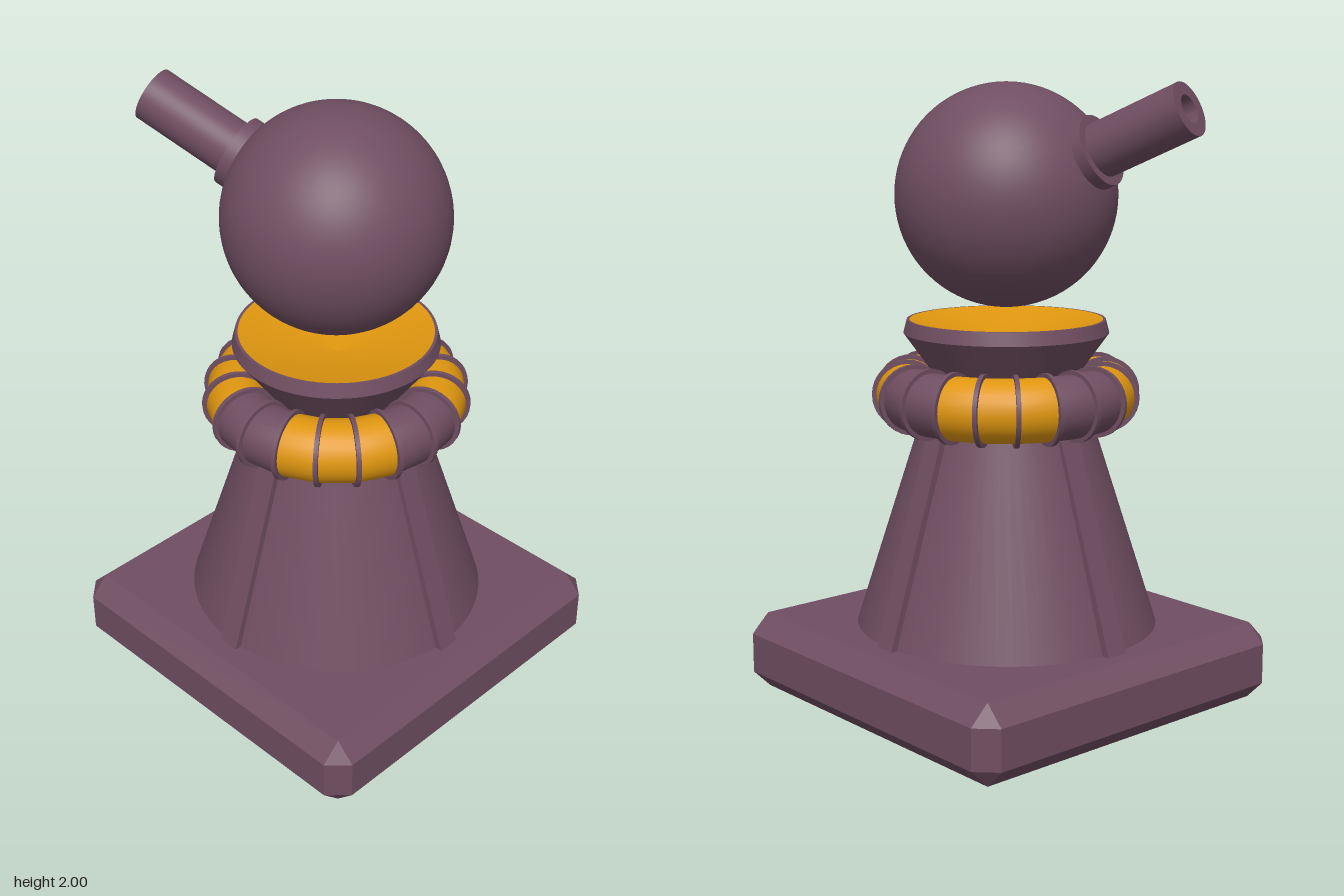
import * as THREE from 'three';
import { toCreasedNormals } from 'three/addons/utils/BufferGeometryUtils.js';
import { ConvexGeometry } from 'three/addons/geometries/ConvexGeometry.js';

export function createModel() {
  const model = new THREE.Group();
  model.name = 'turret';
  const plum = new THREE.MeshStandardMaterial({ color: 0x6f4e61 });
  plum.name = 'plum';
  const amber = new THREE.MeshStandardMaterial({ color: 0xdf960f });
  amber.name = 'amber';

  const body = new THREE.Group();
  body.name = 'body';
  body.position.x = 0.008;
  model.add(body);

  const add = (parent, name, geometry, material) => {
    const mesh = new THREE.Mesh(geometry, material);
    mesh.name = name;
    parent.add(mesh);
    return mesh;
  };
  const lathe = (profile, segments = 64) => toCreasedNormals(
    new THREE.LatheGeometry(profile.map(([r, y]) => new THREE.Vector2(r, y)), segments), 0.45);

  // Square plinth with every edge chamfered
  const half = 0.626, height = 0.255, bevel = 0.062;
  const corners = [];
  for (const sx of [-1, 1]) for (const sy of [-1, 1]) for (const sz of [-1, 1]) {
    for (let axis = 0; axis < 3; axis++) {
      const inset = [bevel, bevel, bevel];
      inset[axis] = 0;
      corners.push(new THREE.Vector3(
        sx * (half - inset[0]),
        height / 2 + sy * (height / 2 - inset[1]),
        sz * (half - inset[2])));
    }
  }
  add(body, 'plinth', new ConvexGeometry(corners), plum);

  // Tapered column, very slightly wider across x
  add(body, 'column', lathe([[0.488, 0.25], [0.283, 0.9], [0.248, 1.01], [0, 1.01]]), plum).scale.x = 1.02;

  // Four sloping ribs
  const ribProfile = reach => new THREE.Shape([
    new THREE.Vector2(0.3, 0.25), new THREE.Vector2(reach, 0.25),
    new THREE.Vector2(0.303, 0.9), new THREE.Vector2(0.2, 0.9)]);
  for (let i = 0; i < 4; i++) {
    const geometry = new THREE.ExtrudeGeometry(ribProfile(i % 2 ? 0.508 : 0.522), { depth: 0.074, bevelEnabled: false });
    geometry.translate(0, 0, -0.037);
    add(body, 'rib', geometry, plum).rotation.y = i * Math.PI / 2;
  }

  // Flared collar with a glowing dish inside
  add(body, 'flaredCollar', lathe([[0.215, 1.0], [0.215, 1.05], [0.33, 1.21], [0.319, 1.253], [0.31, 1.253]]), plum);
  add(body, 'dish', lathe([[0.312, 1.253], [0, 1.17]]), amber).material.side = THREE.DoubleSide;

  // Segmented ring: each quarter has three amber segments, with plum ones between
  const step = Math.PI / 10, ringRadius = 0.32;
  const coil = new THREE.Group();
  coil.name = 'coil';
  coil.position.y = 1.01;
  body.add(coil);
  for (let quarter = 0; quarter < 4; quarter++) {
    const start = quarter * Math.PI / 2;
    const arc = (name, first, count, material) => {
      const geometry = new THREE.TorusGeometry(ringRadius, 0.1, 28, count, count * step);
      geometry.rotateX(-Math.PI / 2);
      add(coil, name, geometry, material).rotation.y = start + first * step;
    };
    arc('coilLight', 1, 3, amber);
    arc('coilJoint', 4, 2, plum);
  }

  // Thin discs separating the segments
  for (let i = 0; i < 20; i++) {
    const disc = new THREE.CylinderGeometry(0.113, 0.113, 0.014, 32);
    disc.rotateX(Math.PI / 2);
    disc.translate(ringRadius, 0, 0);
    add(coil, 'coilBand', disc, plum).rotation.y = i * step;
  }

  // Floating ball
  const centre = new THREE.Vector3(0, 1.646, 0);
  add(body, 'ball', new THREE.SphereGeometry(0.354, 64, 40), plum).position.copy(centre);

  // Hollow barrel and its mounting collar, pointing out from the ball's centre
  const barrel = new THREE.Group();
  barrel.name = 'barrel';
  barrel.position.copy(centre);
  barrel.quaternion.setFromUnitVectors(
    new THREE.Vector3(0, 1, 0), new THREE.Vector3(-0.875, 0.398, 0.276).normalize());
  body.add(barrel);
  add(barrel, 'barrelMount', new THREE.CylinderGeometry(0.115, 0.115, 0.06, 40).translate(0, 0.342, 0), plum);
  add(barrel, 'barrelTube', lathe([[0.087, 0.3], [0.087, 0.69], [0.045, 0.69], [0.045, 0.45], [0, 0.45]], 40), plum);

  return model;
}
